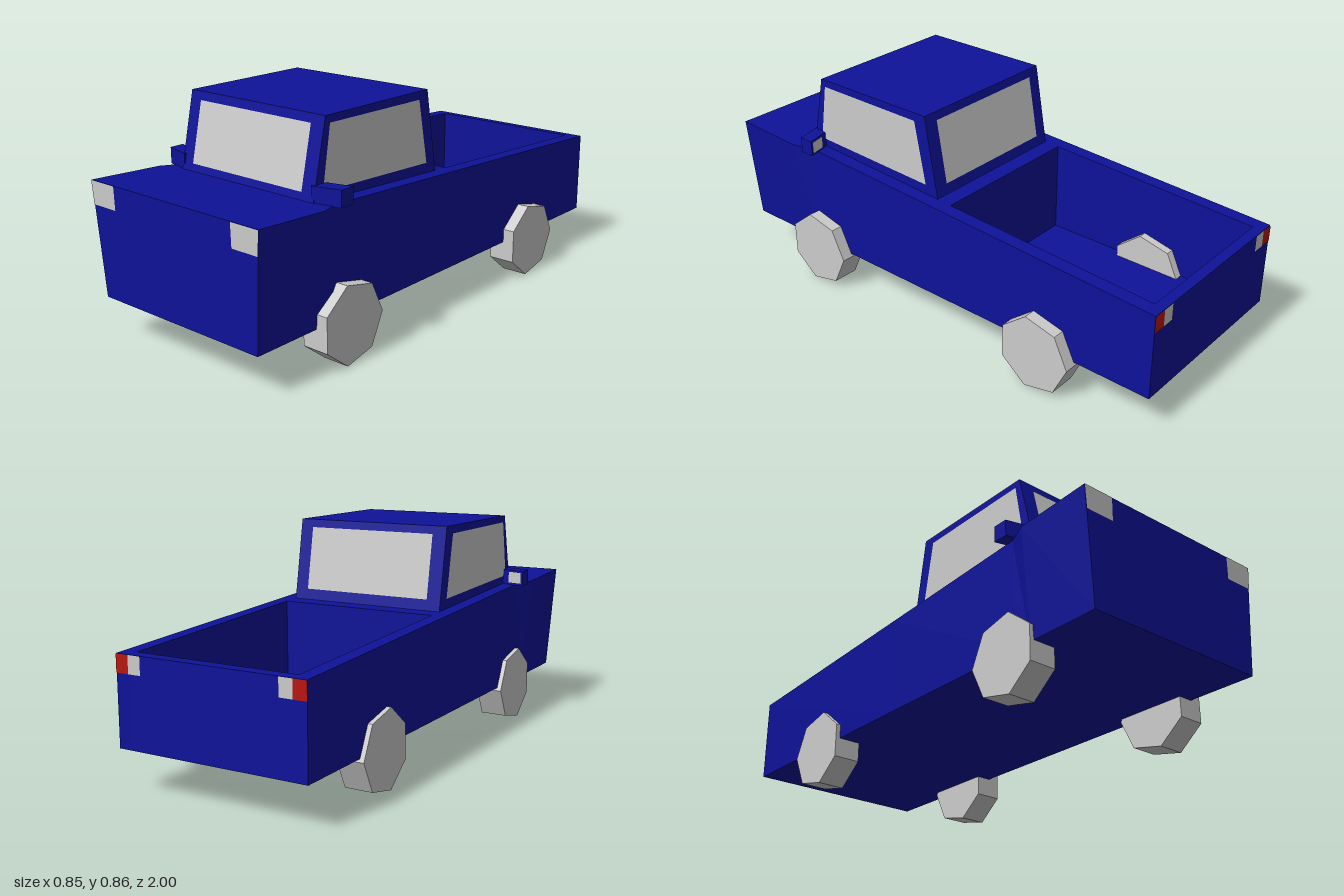
import * as THREE from 'three';

const paint = new THREE.MeshStandardMaterial({ color: 0x0e1298, flatShading: true });
const grey = new THREE.MeshStandardMaterial({ color: 0xcccccc, flatShading: true });
const red = new THREE.MeshStandardMaterial({ color: 0xb8160f, flatShading: true });

// Flat-sided mesh from four-cornered faces, corners counter-clockwise from outside
function quadMesh(name, quads, material) {
  const pos = quads.flatMap(([a, b, c, d]) => [a, b, c, a, c, d].flat());
  const geo = new THREE.BufferGeometry();
  geo.setAttribute('position', new THREE.Float32BufferAttribute(pos, 3));
  geo.computeVertexNormals();
  const mesh = new THREE.Mesh(geo, material);
  mesh.name = name;
  return mesh;
}

// Closed solid through four-cornered rings, ordered from back to front
function loft(rings) {
  const quads = [[...rings[0]].reverse(), rings[rings.length - 1]];
  for (let i = 0; i + 1 < rings.length; i++) {
    for (let j = 0; j < 4; j++) {
      const k = (j + 1) % 4;
      quads.push([rings[i][j], rings[i][k], rings[i + 1][k], rings[i + 1][j]]);
    }
  }
  return quads;
}

const flip = (quads) => quads.map((q) => q.map(([x, y, z]) => [-x, y, z]).reverse());

// Upright ring across the car
const ring = (x0, x1, y0, y1, z) => [[x0, y0, z], [x1, y0, z], [x1, y1, z], [x0, y1, z]];

const BASE = 0.165, HALF = 0.382, FLARE = 0.413, INNER = 0.326;
const BED_BACK = -0.96, BED_FRONT = -0.07, ROOF = 0.867;
const beltY = (z) => 0.548 + 0.051 * z;            // sloping top line of the body
const screenZ = (y) => 0.6 + (ROOF - y) * 0.226;   // windscreen slope
const rearZ = (y) => 0.05 - (ROOF - y) * 0.174;    // rear window slope

export function createModel() {
  const truck = new THREE.Group();
  truck.name = 'pickupTruck';
  const body = new THREE.Group();
  body.name = 'body';
  body.position.x = -0.005;
  truck.add(body);

  const add = (name, quads, material) => body.add(quadMesh(name, quads, material));
  const addPair = (name, quads, material) => {
    add(name + 'Left', quads, material);
    add(name + 'Right', flip(quads), material);
  };

  // Nose and lower cab, flaring out towards the top of the hood
  const section = (z, top, bottomZ = z) => [
    [-HALF, BASE, bottomZ], [HALF, BASE, bottomZ], [top, beltY(z), z], [-top, beltY(z), z],
  ];
  add('frontBody', loft([
    section(BED_FRONT, HALF), section(0.62, HALF), section(0.7, FLARE), section(1, FLARE, 0.99),
  ]), paint);

  // Open cargo bed
  add('bedFloor', loft([-1, BED_FRONT].map((z) => ring(-HALF, HALF, BASE, 0.175, z))), paint);
  addPair('bedWall', loft([-1, BED_FRONT].map((z) => ring(INNER, HALF, BASE, beltY(z), z))), paint);
  add('tailgate', loft([-1, BED_BACK].map((z) => ring(-INNER, INNER, BASE, beltY(z), z))), paint);

  // Cab with sloping front and rear
  const cabRing = (zAt, y0) => [
    [-INNER, y0, zAt(y0)], [INNER, y0, zAt(y0)], [INNER, ROOF, zAt(ROOF)], [-INNER, ROOF, zAt(ROOF)],
  ];
  add('cab', loft([cabRing(rearZ, 0.545), cabRing(screenZ, 0.575)]), paint);

  // Windows
  const pane = (zAt, y0, y1, gap) => [
    [-0.27, y0, zAt(y0) + gap], [0.27, y0, zAt(y0) + gap],
    [0.27, y1, zAt(y1) + gap], [-0.27, y1, zAt(y1) + gap],
  ];
  add('windscreen', [pane(screenZ, 0.61, 0.836, 0.003)], grey);
  add('rearWindow', [pane(rearZ, 0.59, 0.836, -0.003).reverse()], grey);
  const sx = INNER + 0.002;
  addPair('sideWindow', [[
    [sx, 0.612, 0.618], [sx, 0.59, 0.052], [sx, 0.836, 0.1], [sx, 0.84, 0.58],
  ]], grey);

  // Swept-back door mirrors with glass on the rear face
  const mirrorRing = (zIn, zOut) => [
    [0.315, 0.578, zIn], [0.424, 0.578, zOut], [0.424, 0.64, zOut], [0.315, 0.64, zIn],
  ];
  addPair('doorMirror', loft([mirrorRing(0.603, 0.575), mirrorRing(0.662, 0.634)]), paint);
  addPair('mirrorGlass', [[
    [0.415, 0.587, 0.575], [0.355, 0.587, 0.59], [0.355, 0.632, 0.59], [0.415, 0.632, 0.575],
  ]], grey);

  // Headlights and tail lights
  addPair('headlight', [[
    [0.29, 0.51, 1], [0.406, 0.51, 1], [FLARE, 0.598, 1.002], [0.29, 0.598, 1.002],
  ]], grey);
  const tailLight = (x0, x1) => [ring(x0, x1, 0.43, 0.496, -1.002).reverse()];
  addPair('tailLight', tailLight(0.33, HALF), red);
  addPair('reverseLight', tailLight(0.278, 0.33), grey);

  // Seven-sided wheels, one corner pointing backwards
  const wheelGeo = new THREE.CylinderGeometry(0.152, 0.152, 0.108, 7);
  wheelGeo.rotateY(Math.PI).rotateZ(Math.PI / 2);
  for (const [end, z] of [['front', 0.58], ['rear', -0.543]]) {
    for (const [side, x] of [['Left', 0.371], ['Right', -0.351]]) {
      const wheel = new THREE.Mesh(wheelGeo, grey);
      wheel.name = `${end}Wheel${side}`;
      wheel.position.set(x, 0.154, z);
      truck.add(wheel);
    }
  }
  return truck;
}
